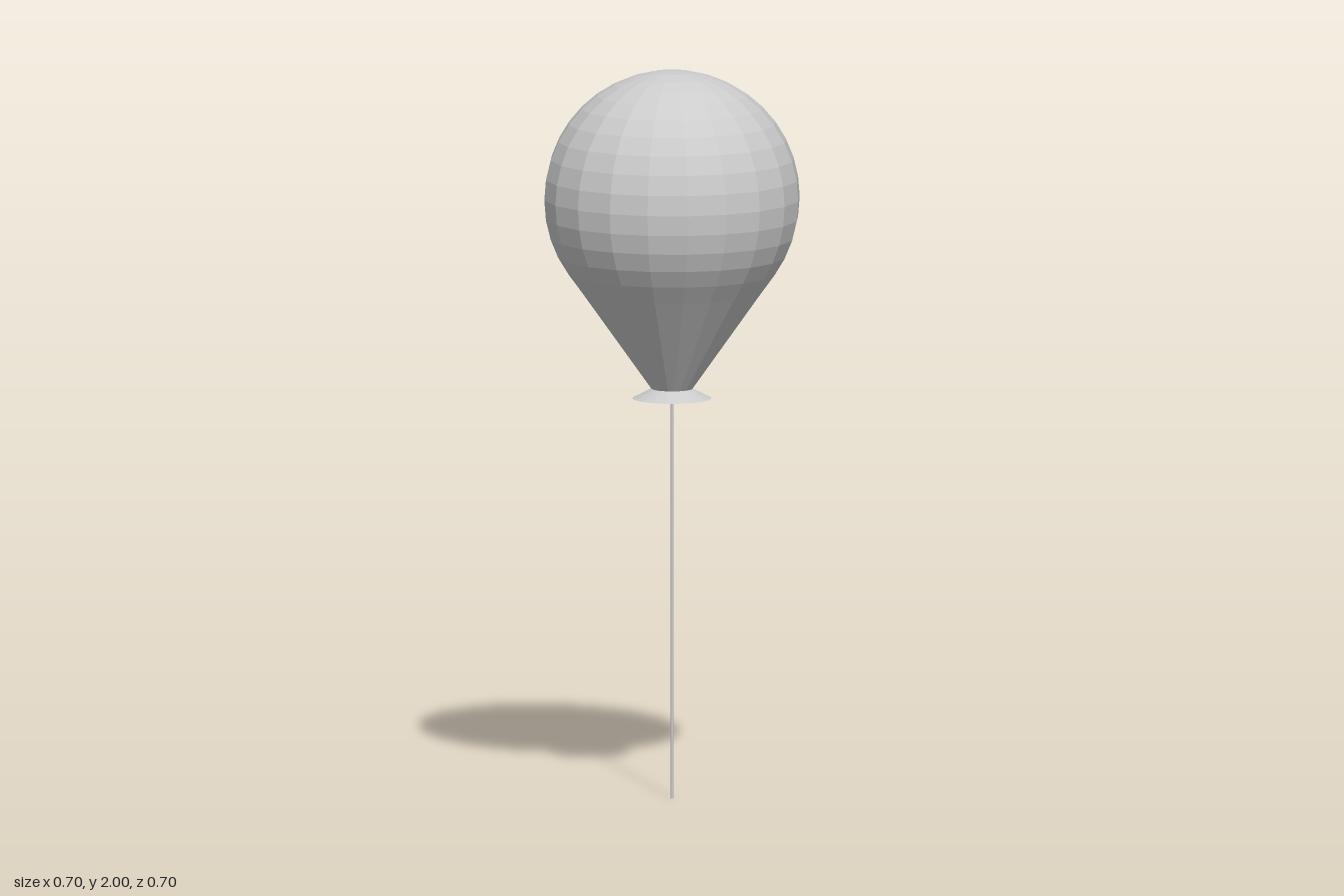
import * as THREE from 'three';

const SIDES = 20;

function lathe(name, profile, side) {
  const points = profile.map(([r, y]) => new THREE.Vector2(r, y));
  const material = new THREE.MeshStandardMaterial({ color: 0xcccccc, flatShading: true, side });
  const mesh = new THREE.Mesh(new THREE.LatheGeometry(points, SIDES), material);
  mesh.name = name;
  return mesh;
}

export function createModel() {
  const group = new THREE.Group();
  group.name = 'balloon';

  // Envelope: closed neck, tangent cone, then a sphere in 9 degree rings
  const radius = 0.35, centre = 1.65;
  const profile = [[0, 1.125], [0.055, 1.125], [0.247, 1.395]];
  for (let ring = 14; ring >= 0; ring--) {
    const a = (ring * Math.PI) / 20;
    profile.push([radius * Math.sin(a), centre + radius * Math.cos(a)]);
  }
  group.add(lathe('envelope', profile, THREE.FrontSide));

  // Thin flared lip under the neck
  group.add(lathe('lip', [[0.108, 1.1], [0.055, 1.127]], THREE.DoubleSide));

  // String
  const string = new THREE.Mesh(
    new THREE.CylinderGeometry(0.004, 0.004, 1.125, 8),
    new THREE.MeshStandardMaterial({ color: 0xcccccc })
  );
  string.position.y = 1.125 / 2;
  string.name = 'string';
  group.add(string);

  return group;
}
